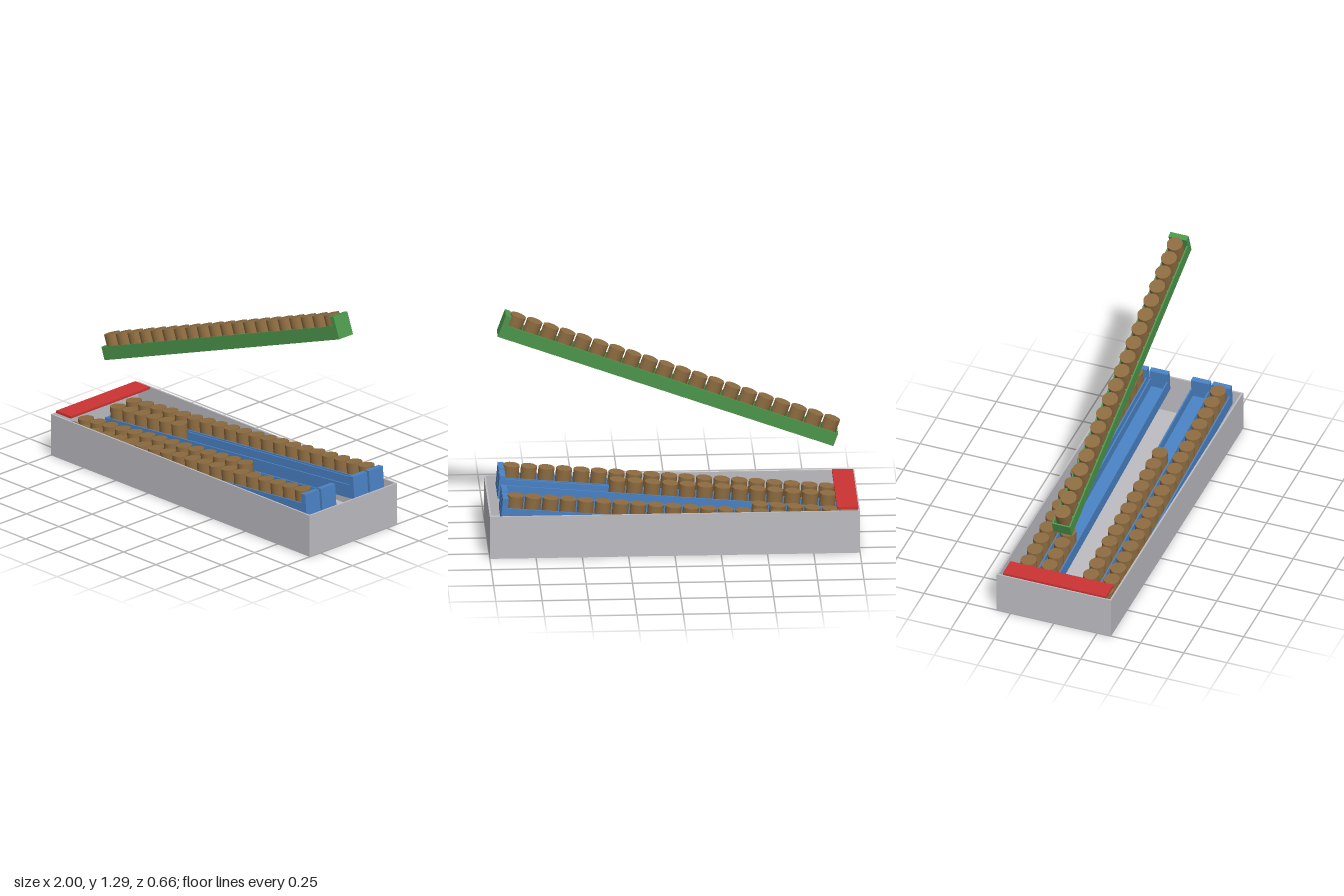
import * as THREE from 'three';

const mat = (name, color) => {
  const m = new THREE.MeshStandardMaterial({ color });
  m.name = name;
  return m;
};

const RAIL_LENGTH = 1.929, RAIL_WIDTH = 0.105, WALL = 0.008;
const WALL_HEIGHT = 0.075, STOP_HEIGHT = 0.128, STOP_DEPTH = 0.032, FLOOR = 0.02;
const CAN_RADIUS = 0.0435, CAN_TOP = 0.136, CAN_PITCH = 0.095, CAN_START = 0.052;

// Box given by its minimum and maximum corners
function box(name, material, min, max) {
  const size = max.map((v, i) => v - min[i]);
  const mesh = new THREE.Mesh(new THREE.BoxGeometry(...size), material);
  mesh.position.set(...max.map((v, i) => (v + min[i]) / 2));
  mesh.name = name;
  return mesh;
}

// Open channel with a tall end stop, holding a row of cylinders from its low end
function createRail(name, material, canMaterial, canCount) {
  const rail = new THREE.Group();
  rail.name = name;
  const w = RAIL_WIDTH / 2, stopX = RAIL_LENGTH - STOP_DEPTH;
  rail.add(
    box('channelFloor', material, [0, 0, -w], [stopX, FLOOR, w]),
    box('lowEndWall', material, [0, FLOOR, -w + WALL], [WALL, WALL_HEIGHT, w - WALL]),
    box('endStop', material, [stopX, 0, -w], [RAIL_LENGTH, STOP_HEIGHT, w])
  );
  for (const s of [-1, 1]) {
    const z = s * (w - WALL / 2);
    rail.add(box('channelWall', material,
      [0, FLOOR, z - WALL / 2], [stopX, WALL_HEIGHT, z + WALL / 2]));
  }
  const height = CAN_TOP - FLOOR;
  const canGeometry = new THREE.CylinderGeometry(CAN_RADIUS, CAN_RADIUS, height, 28);
  for (let i = 0; i < canCount; i++) {
    const can = new THREE.Mesh(canGeometry, canMaterial);
    can.name = 'cylinder';
    can.position.set(CAN_START + i * CAN_PITCH, FLOOR + height / 2, 0);
    rail.add(can);
  }
  return rail;
}

export function createModel() {
  const model = new THREE.Group();
  model.name = 'railTray';
  const gray = mat('trayGray', 0xbcbcc2);
  const red = mat('coverRed', 0xcc3333);
  const blue = mat('railBlue', 0x4a82c4);
  const green = mat('railGreen', 0x4c964c);
  const brown = mat('cylinderBrown', 0x8c6b40);

  // Open tray
  const tray = new THREE.Group();
  tray.name = 'tray';
  const X = 1, Z = 0.33, H = 0.24, T = 0.01;
  tray.add(
    box('trayFloor', gray, [-X, 0, -Z], [X, T, Z]),
    box('trayFront', gray, [-X, T, Z - T], [X, H, Z]),
    box('trayBack', gray, [-X, T, -Z], [X, H, -Z + T]),
    box('trayLeft', gray, [X - T, T, -Z + T], [X, H, Z - T]),
    box('trayRight', gray, [-X, T, -Z + T], [-X + T, H, Z - T])
  );
  model.add(tray);

  // Cover strip across the low end
  model.add(box('coverStrip', red, [-0.992, H, -0.298], [-0.878, 0.253, 0.298]));

  // Four sloping rails in the tray: [z, number of cylinders]
  for (const [z, count] of [[-0.24, 20], [-0.12, 6], [0.12, 14], [0.24, 20]]) {
    const rail = createRail('trayRail', blue, brown, count);
    rail.position.set(-0.983, 0.034, z);
    rail.rotation.z = THREE.MathUtils.degToRad(5);
    model.add(rail);
  }

  // Steeper rail raised above the tray
  const raised = createRail('raisedRail', green, brown, 20);
  raised.position.set(-0.869, 0.513, 0);
  raised.rotation.z = THREE.MathUtils.degToRad(20);
  model.add(raised);

  return model;
}
